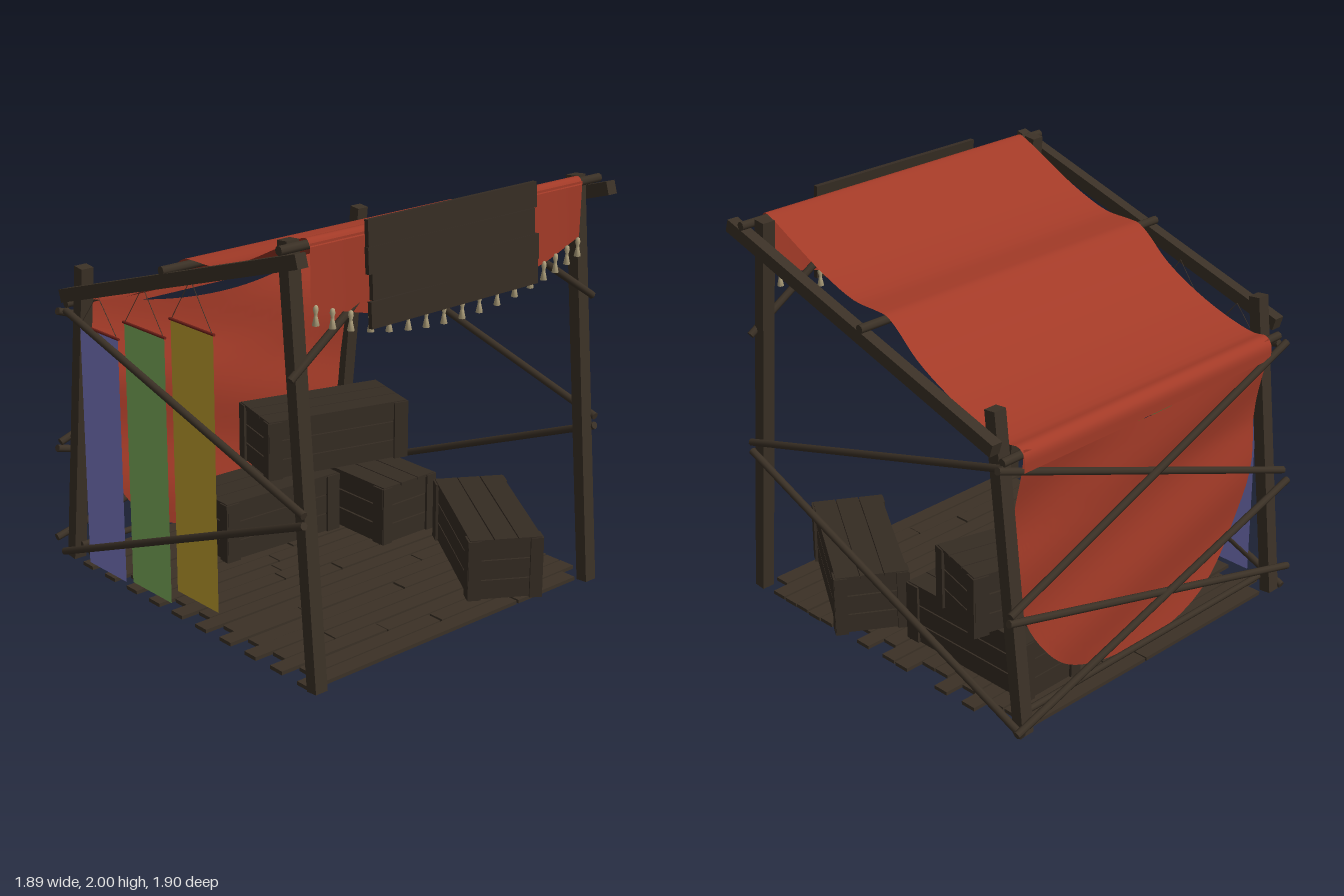
import * as THREE from 'three';

const mat = (name, color, side = THREE.FrontSide) => {
  const m = new THREE.MeshStandardMaterial({ color, side });
  m.name = name;
  return m;
};
const V = (x, y, z) => new THREE.Vector3(x, y, z);

export function createModel() {
  const root = new THREE.Group();
  root.name = 'marketStall';
  const wood = mat('frame wood', 0x3b3126);
  const crateWood = mat('crate wood', 0x352c23);
  const cloth = mat('red cloth', 0xa23a27, THREE.DoubleSide);
  const bone = mat('tassel beige', 0xb3a47f);
  const yellow = mat('yellow banner', 0xc4a42f, THREE.DoubleSide);
  const green = mat('green banner', 0x80b35e, THREE.DoubleSide);
  const blue = mat('blue banner', 0x7d7cc9, THREE.DoubleSide);
  const rodRed = mat('dark red rod', 0x6e2018);
  const string = mat('string', 0x4a3c30);

  let seed = 7;
  const rnd = () => (seed = (seed * 16807) % 2147483647) / 2147483647;
  const jit = (a) => (rnd() - 0.5) * 2 * a;

  const add = (name, geo, material, parent = root) => {
    const m = new THREE.Mesh(geo, material);
    m.name = name;
    parent.add(m);
    return m;
  };
  // Stretch a geometry that lies along z between two points
  const span = (name, geo, material, a, b) => {
    const m = add(name, geo, material);
    m.position.copy(a).lerp(b, 0.5);
    m.lookAt(b);
    return m;
  };
  const beam = (name, a, b, w, h) =>
    span(name, new THREE.BoxGeometry(w, h, a.distanceTo(b)), wood, a, b);
  const pole = (name, a, b, r = 0.018, material = wood, sides = 8) =>
    span(name, new THREE.CylinderGeometry(r, r, a.distanceTo(b), sides).rotateX(Math.PI / 2), material, a, b);
  // Cloth sheet: a grid placed by a rule, u across and v from bottom to top
  const sheet = (name, nu, nv, material, rule) => {
    const g = new THREE.PlaneGeometry(1, 1, nu, nv);
    const p = g.attributes.position;
    const uv = g.attributes.uv;
    for (let i = 0; i < p.count; i++) p.setXYZ(i, ...rule(uv.getX(i) * 2 - 1, uv.getY(i)));
    g.computeVertexNormals();
    return add(name, g, material);
  };

  // Side frames, mirrored
  for (const s of [-1, 1]) {
    beam('frontPost', V(s * 0.85, 0.005, 0.915), V(s * 0.85, 1.955, 0.74), 0.066, 0.06);
    beam('backPost', V(s * 0.85, 0.02, -0.885), V(s * 0.85, 1.525, -0.72), 0.066, 0.06);
    beam('roofBeam', V(s * 0.915, 1.912, 0.9), V(s * 0.915, 1.385, -0.79), 0.056, 0.062);
    pole('upperSideBrace', V(s * 0.895, 0.815, 0.885), V(s * 0.895, 1.3, -0.82));
    pole('lowerSideBrace', V(s * 0.895, 0.77, 0.885), V(s * 0.895, 0.04, -0.925));
    pole('frontCornerBrace', V(s * 0.91, 1.39, 0.82), V(s * 0.45, 1.70, 0.795));
    // Stacked crossing poles on the back
    pole('upperBackBrace', V(s * 0.93, 0.64, -0.875 - s * 0.012), V(-s * 0.93, 1.3, -0.825 - s * 0.012));
    pole('lowerBackBrace', V(s * 0.94, 0.1 + s * -0.03, -0.925 - s * 0.008), V(-s * 0.93, 0.6, -0.885 - s * 0.008));
  }
  pole('frontCrossbar', V(-0.945, 1.935, 0.795), V(0.945, 1.935, 0.795), 0.021);
  pole('middleCrossbar', V(-0.945, 1.68, 0.005), V(0.945, 1.68, 0.005), 0.021);
  pole('backCrossbar', V(-0.9, 1.335, -0.81), V(0.9, 1.325, -0.81), 0.02);
  pole('bottomBackPole', V(-0.85, 0.09, -0.84), V(0.85, 0.08, -0.84), 0.016);

  // Roof cloth, sagging between the crossbars and folding over the back
  const roofPath = new THREE.CatmullRomCurve3([
    [1.93, 0.825], [1.962, 0.8], [1.945, 0.74], [1.875, 0.6], [1.78, 0.4], [1.715, 0.2],
    [1.71, 0.05], [1.705, -0.01], [1.67, -0.07], [1.56, -0.2], [1.455, -0.4], [1.385, -0.6],
    [1.357, -0.74], [1.362, -0.81], [1.33, -0.843], [1.255, -0.845],
  ].map(([y, z]) => V(0, y, z)));
  sheet('roofCloth', 16, 60, cloth, (u, v) => {
    const p = roofPath.getPoint(1 - v);
    return [u * 0.805, p.y, p.z];
  });

  // Front valance with a curved hem
  const hem = (x) => 1.535 + 0.15 * (x / 0.8) ** 2;
  sheet('frontValance', 40, 6, cloth, (u, v) => {
    const x = u * 0.805;
    const y = hem(x) + (1.945 - hem(x)) * v;
    return [x, y, 0.822 + 0.006 * Math.sin(x * 14) * (1 - v)];
  });

  // Back curtain with rounded lower corners and slack upper edge
  sheet('backCurtain', 48, 20, cloth, (u, v) => {
    const k = Math.sin(u * Math.PI / 2);
    const low = 0.03 + 1.0 * (1 - Math.pow(Math.max(0, 1 - Math.abs(k) ** 2.5), 0.4));
    const y = low + (1.22 + 0.14 * k * k - low) * v;
    const z = -0.775 - 0.05 * Math.max(0, (y - 0.9) / 0.46) + 0.012 * Math.sin(y * 11 + k * 3);
    return [0.8 * k, y, z];
  });

  // Tassels along the hem
  const tasselGeo = new THREE.LatheGeometry([
    [0.001, 0.01], [0.009, 0.005], [0.012, -0.012], [0.007, -0.03],
    [0.008, -0.04], [0.016, -0.078], [0.001, -0.08],
  ].reverse().map(([x, y]) => new THREE.Vector2(x, y)), 8);
  for (const x of [-0.78, -0.69, -0.59, -0.48, -0.375, -0.265, -0.16, -0.055, 0.055,
    0.16, 0.27, 0.38, 0.48, 0.565, 0.64, 0.715, 0.785]) {
    add('tassel', tasselGeo, bone).position.set(x, hem(x), 0.828);
  }

  // Blank sign made of four rough planks
  const sign = new THREE.Group();
  sign.name = 'signBoard';
  sign.position.set(0, 1.768, 0.848);
  sign.rotation.x = -0.06;
  root.add(sign);
  [[-0.51, 0.485], [-0.5, 0.49], [-0.52, 0.465], [-0.515, 0.48]].forEach(([a, b], i) => {
    const m = add('signPlank', new THREE.BoxGeometry(b - a, 0.115, 0.022), crateWood, sign);
    m.position.set((a + b) / 2, (i - 1.5) * 0.115, jit(0.002));
    m.rotation.z = jit(0.007);
  });

  // Floor planks with ragged ends
  const rows = 20;
  for (let i = 0; i < rows; i++) {
    const z = -0.835 + (i * 1.69) / (rows - 1);
    const ends = [i % 2 ? -0.88 : -0.79, rnd() > 0.5 === i % 2 > 0 ? 0.88 : 0.79];
    const cut = jit(0.5);
    for (const [a, b] of [[ends[0], cut - 0.004], [cut + 0.004, ends[1]]]) {
      const m = add('floorPlank', new THREE.BoxGeometry(b - a, 0.018, 0.08), wood);
      m.position.set((a + b) / 2, 0.017 + jit(0.003), z);
      m.rotation.y = jit(0.006);
    }
  }

  // Crate: inner core, three planks per side, corner boards and a planked lid
  const crate = (x, y, z, turn, L = 0.765, W = 0.345, H = 0.3) => {
    const g = new THREE.Group();
    g.name = 'crate';
    g.position.set(x, y, z);
    g.rotation.y = turn;
    root.add(g);
    const box = (name, w, h, d, px, py, pz) => {
      const m = add(name, new THREE.BoxGeometry(w, h, d), crateWood, g);
      m.position.set(px, py, pz);
      return m;
    };
    box('crateCore', L - 0.035, H - 0.02, W - 0.035, 0, H / 2, 0);
    const ph = H / 3;
    for (const s of [-1, 1]) {
      for (let i = 0; i < 3; i++) {
        const py = ph * (i + 0.5);
        box('sidePlank', L - 0.02, ph - 0.007, 0.012, 0, py, s * (W / 2 - 0.012)).rotation.z = jit(0.004);
        box('endPlank', 0.012, ph - 0.007, W - 0.02, s * (L / 2 - 0.012), py, 0).rotation.x = jit(0.006);
        box('lidPlank', L, 0.014, W / 3 - 0.006, 0, H - 0.002, (i - 1) * W / 3).rotation.y = jit(0.004);
      }
      for (const t of [-1, 1]) {
        box('cornerBoard', 0.07, H, 0.014, s * (L / 2 - 0.035), H / 2, t * W / 2);
        box('cornerBoard', 0.014, H, 0.06, s * L / 2, H / 2, t * (W / 2 - 0.025));
      }
    }
  };
  crate(0.57, 0.024, 0.515, 1.015);
  crate(0.52, 0.024, -0.355, Math.PI / 2);
  crate(-0.01, 0.024, -0.47, -0.05, 0.68);
  crate(0.4, 0.332, -0.48, -0.262);

  // Hanging banners with rod and strings on the right side
  const bx = -0.885;
  for (const [name, m, z, top, bottom, peak] of [
    ['yellowBanner', yellow, 0.135, 1.45, 0.15, 1.66],
    ['greenBanner', green, -0.215, 1.35, 0.07, 1.55],
    ['blueBanner', blue, -0.57, 1.255, 0.05, 1.43],
  ]) {
    const b = add(name, new THREE.PlaneGeometry(0.3, top - bottom), m);
    b.position.set(bx, (top + bottom) / 2, z);
    b.rotation.y = -Math.PI / 2;
    pole('bannerRod', V(bx, top, z - 0.157), V(bx, top, z + 0.157), 0.007, rodRed);
    for (const s of [-1, 1]) {
      pole('bannerString', V(bx, top, z + s * 0.145), V(bx, peak, z), 0.002, string, 4);
    }
  }
  return root;
}
